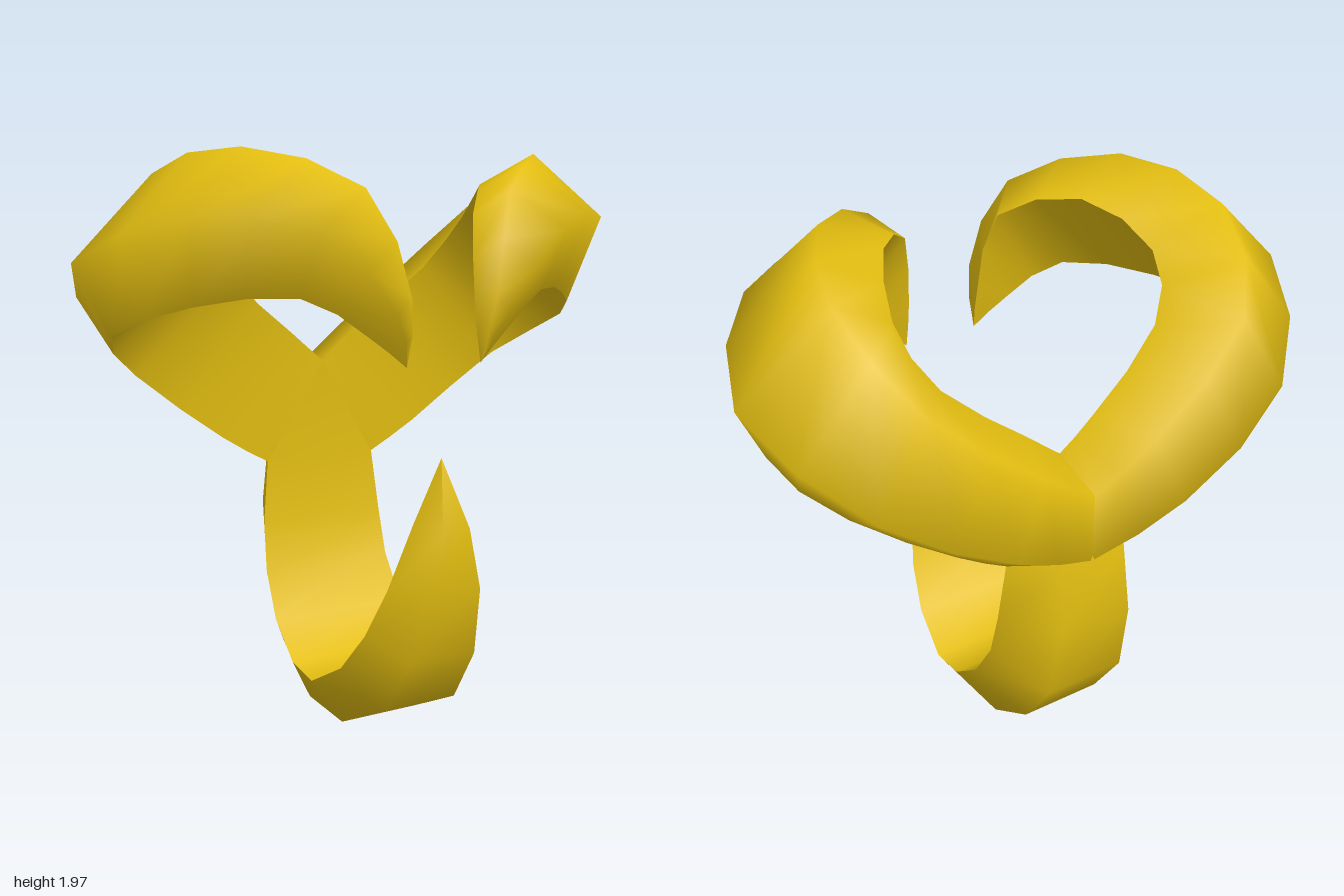
import * as THREE from 'three';

const material = new THREE.MeshStandardMaterial({ color: 0xe2bd10, side: THREE.DoubleSide });

// Skins a row of four-cornered sections: smooth outer shell, separate inner face for a sharp rim.
function buildClaw(name, sections, mirror = false) {
  const positions = [], index = [];
  const strip = (corners) => {
    const base = positions.length / 3, n = corners.length;
    for (const s of sections) {
      for (const c of corners) positions.push(mirror ? -s[c].x : s[c].x, s[c].y, s[c].z);
    }
    for (let i = 0; i < sections.length - 1; i++) {
      for (let j = 0; j < n - 1; j++) {
        const a = base + i * n + j, b = a + 1, d = a + n, c = d + 1;
        if (mirror) index.push(a, c, b, a, d, c);
        else index.push(a, b, c, a, c, d);
      }
    }
  };
  strip([0, 1, 2, 3]); // outer shell
  strip([3, 0]);       // flat inner face
  const geometry = new THREE.BufferGeometry();
  geometry.setAttribute('position', new THREE.Float32BufferAttribute(positions, 3));
  geometry.setIndex(index);
  geometry.computeVertexNormals();
  const mesh = new THREE.Mesh(geometry, material);
  mesh.name = name;
  return mesh;
}

// Lower claw: trapezoid sections from tip to junction, outer face a fixed share of the inner width
function lowerSections() {
  const profile = [ // inner z, inner y, outer z, outer y, inner half width
    [0.48, 1.00, 0.48, 1.00, 0],
    [0.457, 0.79, 0.57, 0.78, 0.09],
    [0.44, 0.57, 0.56, 0.57, 0.18],
    [0.37, 0.41, 0.50, 0.33, 0.22],
    [0.26, 0.27, 0.36, 0.13, 0.25],
    [0.09, 0.175, 0.10, 0.005, 0.27],
    [-0.05, 0.20, -0.14, 0.02, 0.27],
    [-0.19, 0.32, -0.35, 0.17, 0.265],
    [-0.28, 0.48, -0.50, 0.40, 0.255],
    [-0.315, 0.65, -0.54, 0.68, 0.245],
    [-0.33, 0.88, -0.51, 0.95, 0.22],
    [-0.305, 1.235, -0.45, 1.15, 0],
  ];
  return profile.map(([iz, iy, oz, oy, w]) => [
    new THREE.Vector3(w, iy, iz),
    new THREE.Vector3(w * 0.57, oy, oz),
    new THREE.Vector3(-w * 0.57, oy, oz),
    new THREE.Vector3(-w, iy, iz),
  ]);
}

// Upper claw: four curved rails run from the shared tip to the junction
function upperSections() {
  const tip = [0.14, 1.3, 0.49];
  const upperInner = [[0.14, 1.48, 0.455], [0.18, 1.77, 0.38], [0.37, 1.87, 0.15], [0.48, 1.76, -0.11],
    [0.40, 1.57, -0.25], [0.13, 1.345, -0.305], [0, 1.235, -0.305]];
  const upperOuter = [[0.16, 1.52, 0.55], [0.27, 1.85, 0.46], [0.56, 1.975, 0.20], [0.70, 1.90, -0.18],
    [0.57, 1.65, -0.49], [0.20, 1.34, -0.54], [0, 1.19, -0.51]];
  const lowerOuter = [[0.21, 1.47, 0.55], [0.46, 1.72, 0.52], [0.78, 1.76, 0.31], [1.00, 1.62, -0.12],
    [0.75, 1.36, -0.51], [0.32, 1.09, -0.575], [0, 0.93, -0.51]];
  const lowerInner = [[0.27, 1.405, 0.46], [0.46, 1.52, 0.39], [0.72, 1.49, 0.18], [0.90, 1.39, -0.05],
    [0.74, 1.23, -0.27], [0.40, 0.98, -0.32], [0.22, 0.875, -0.33]];
  const rails = [upperInner, upperOuter, lowerOuter, lowerInner].map((points) =>
    new THREE.CatmullRomCurve3([tip, ...points].map((p) => new THREE.Vector3(...p)), false, 'catmullrom', 0.5));
  const steps = 14; // two per rail segment
  return Array.from({ length: steps + 1 }, (_, i) => rails.map((rail) => rail.getPoint(i / steps)));
}

export function createModel() {
  const group = new THREE.Group();
  group.name = 'threeClawHook';
  const upper = upperSections();
  group.add(buildClaw('lowerClaw', lowerSections()));
  group.add(buildClaw('upperLeftClaw', upper));
  group.add(buildClaw('upperRightClaw', upper, true));
  return group;
}
